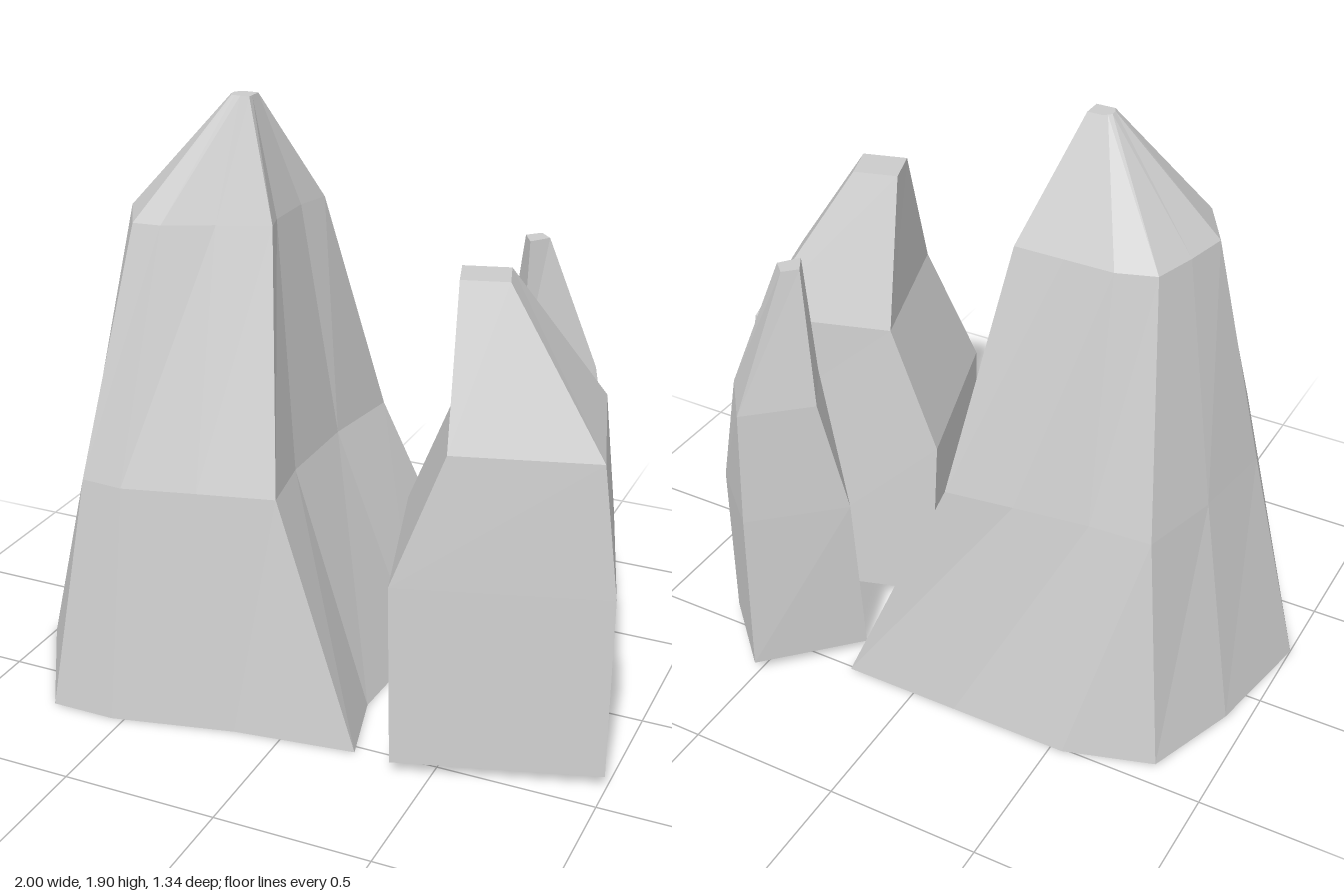
import * as THREE from 'three';

// Faceted rock: stacked rings of [x, z] corners, each at its own height, capped at both ends
function makeRock(name, heights, rings) {
  const pos = [];
  const n = rings[0].length;
  const layers = rings.map((ring, k) => ring.map(([x, z]) => [x, heights[k], z]));
  const tri = (...corners) => corners.forEach((c) => pos.push(...c));
  const centre = (layer) => [0, 1, 2].map((a) => layer.reduce((s, p) => s + p[a], 0) / n);
  const base = layers[0];
  const tip = layers[layers.length - 1];
  const baseMid = centre(base);
  const tipMid = centre(tip);

  for (let i = 0; i < n; i++) {
    const j = (i + 1) % n;
    for (let k = 0; k < layers.length - 1; k++) {
      const lo = layers[k], hi = layers[k + 1];
      tri(lo[i], lo[j], hi[j]);
      tri(lo[i], hi[j], hi[i]);
    }
    tri(baseMid, base[j], base[i]);
    tri(tipMid, tip[i], tip[j]);
  }

  const geometry = new THREE.BufferGeometry();
  geometry.setAttribute('position', new THREE.Float32BufferAttribute(pos, 3));
  geometry.computeVertexNormals();
  const mesh = new THREE.Mesh(
    geometry,
    new THREE.MeshStandardMaterial({ color: 0xcccccc, flatShading: true })
  );
  mesh.name = name;
  return mesh;
}

export function createModel() {
  const group = new THREE.Group();
  group.name = 'rockSpires';

  // Tall spire: twelve-sided, flared foot, slightly hollow right side
  group.add(makeRock('tallSpire', [0, 0.76, 1.535, 1.9], [
    [[0.24, -0.51], [-0.15, -0.51], [-0.54, -0.51], [-0.82, -0.42], [-0.93, -0.12], [-1, 0.27],
      [-0.75, 0.67], [-0.54, 0.67], [-0.15, 0.58], [0.24, 0.53], [0.17, 0.27], [0.19, -0.1]],
    [[-0.06, -0.39], [-0.28, -0.36], [-0.52, -0.33], [-0.72, -0.32], [-0.79, -0.06], [-0.83, 0.23],
      [-0.67, 0.55], [-0.53, 0.56], [-0.3, 0.5], [-0.06, 0.44], [-0.1, 0.22], [-0.1, -0.1]],
    [[-0.17, -0.16], [-0.33, -0.16], [-0.49, -0.16], [-0.61, -0.12], [-0.65, 0.02], [-0.68, 0.16],
      [-0.58, 0.33], [-0.49, 0.32], [-0.34, 0.25], [-0.18, 0.19], [-0.2, 0.12], [-0.2, -0.05]],
    [[-0.29, 0.05], [-0.32, 0.05], [-0.34, 0.05], [-0.35, 0.06], [-0.36, 0.07], [-0.36, 0.09],
      [-0.35, 0.11], [-0.34, 0.11], [-0.32, 0.11], [-0.29, 0.11], [-0.29, 0.09], [-0.29, 0.07]],
  ]));

  // Broad four-sided spire
  group.add(makeRock('broadSpire', [0.04, 0.61, 1.02, 1.48], [
    [[0.79, -0.27], [0.18, -0.08], [0.38, 0.59], [0.995, 0.4]],
    [[0.81, -0.21], [0.18, -0.03], [0.355, 0.55], [0.985, 0.355]],
    [[0.78, -0.16], [0.345, -0.03], [0.495, 0.46], [0.925, 0.335]],
    [[0.55, 0.105], [0.41, 0.145], [0.45, 0.27], [0.59, 0.23]],
  ]));

  // Slim four-sided spire behind
  group.add(makeRock('slimSpire', [0.035, 0.6, 0.98, 1.415], [
    [[0.51, -0.67], [0.245, -0.4], [0.46, -0.19], [0.73, -0.45]],
    [[0.52, -0.65], [0.27, -0.42], [0.46, -0.21], [0.72, -0.465]],
    [[0.53, -0.62], [0.35, -0.455], [0.46, -0.28], [0.655, -0.46]],
    [[0.46, -0.44], [0.42, -0.4], [0.455, -0.34], [0.5, -0.4]],
  ]));

  return group;
}
